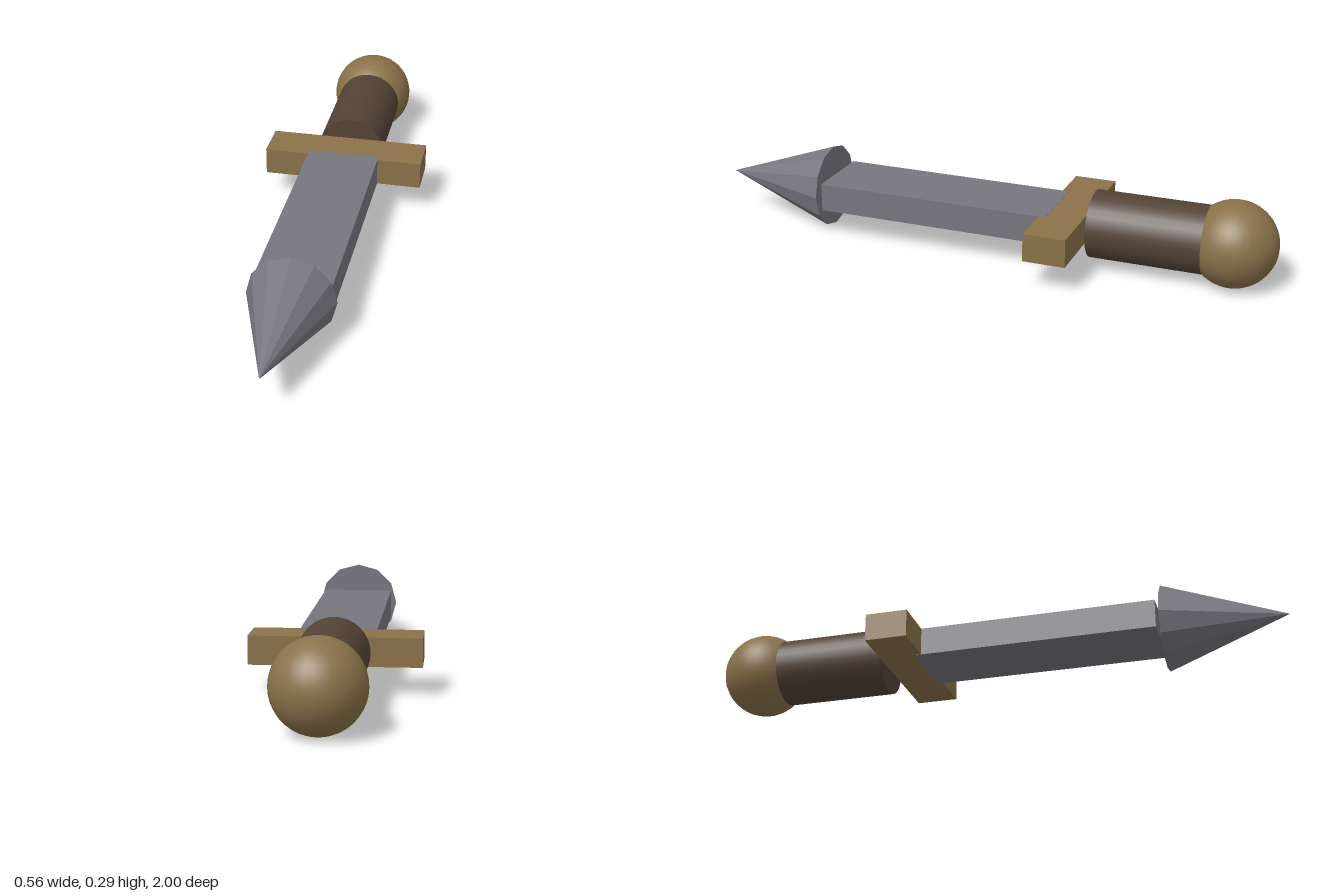
import * as THREE from 'three';

const CENTRE_Y = 0.146;

export function createModel() {
  const steel = new THREE.MeshStandardMaterial({ name: 'steel', color: 0x77767e });
  const brass = new THREE.MeshStandardMaterial({ name: 'brass', color: 0x8a7249 });
  const leather = new THREE.MeshStandardMaterial({ name: 'leather', color: 0x544336 });

  const dagger = new THREE.Group();
  dagger.name = 'dagger';

  function add(name, geometry, material, z) {
    const mesh = new THREE.Mesh(geometry, material);
    mesh.name = name;
    mesh.position.set(0, CENTRE_Y, z);
    dagger.add(mesh);
  }

  // Twelve-sided faceted point, aimed forwards along +z
  const tip = new THREE.ConeGeometry(0.145, 0.41, 12).rotateX(Math.PI / 2).toNonIndexed();
  tip.computeVertexNormals();
  add('bladeTip', tip, steel, 0.795);

  // Flat blade, its root set into the guard and just proud of it
  add('blade', new THREE.BoxGeometry(0.252, 0.097, 0.827), steel, 0.1635);
  add('crossGuard', new THREE.BoxGeometry(0.56, 0.095, 0.144), brass, -0.299);

  // Round grip running into the ball pommel
  add('grip', new THREE.CylinderGeometry(0.115, 0.115, 0.42, 32).rotateX(Math.PI / 2), leather, -0.593);
  add('pommel', new THREE.SphereGeometry(0.145, 32, 20), brass, -0.855);

  return dagger;
}
